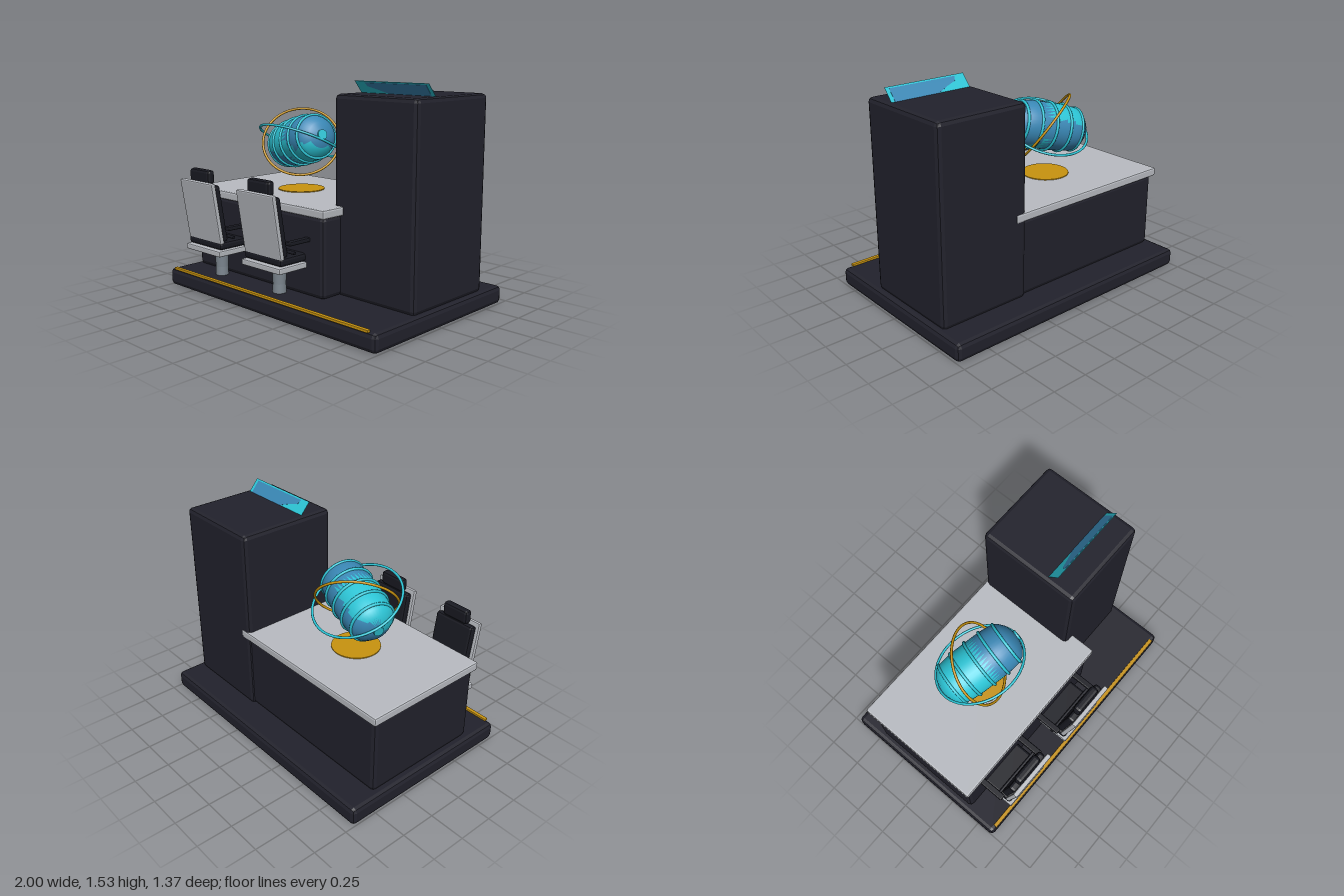
import * as THREE from 'three';
import { RoundedBoxGeometry } from 'three/addons/geometries/RoundedBoxGeometry.js';

const mat = (name, color, side = THREE.FrontSide) => {
  const m = new THREE.MeshStandardMaterial({ color, side });
  m.name = name;
  return m;
};

export function createModel() {
  const model = new THREE.Group();
  model.name = 'controlDesk';
  const dark = mat('darkShell', 0x22222c);
  const cushionDark = mat('cushion', 0x191a22);
  const light = mat('lightPanel', 0xb9bcc2);
  const steel = mat('steel', 0x7c868f);
  const gold = mat('gold', 0xc8930f);
  const cyan = mat('cyan', 0x2cc5d6);
  const blue = mat('blue', 0x3a88b6);

  const add = (parent, name, geometry, material, x = 0, y = 0, z = 0) => {
    const mesh = new THREE.Mesh(geometry, material);
    mesh.name = name;
    mesh.position.set(x, y, z);
    parent.add(mesh);
    return mesh;
  };
  // Bevelled box with flat facets, given by its centre and size
  const box = (parent, name, material, [x, y, z], [w, h, d], bevel = 0.01) => {
    const g = new RoundedBoxGeometry(w, h, d, 1, bevel).toNonIndexed();
    g.computeVertexNormals();
    return add(parent, name, g, material, x, y, z);
  };

  // Platform, desk and tower
  box(model, 'platform', dark, [0, 0.0625, -0.025], [2, 0.125, 1.33], 0.03);
  box(model, 'deskBody', dark, [-0.3, 0.395, -0.04], [1.3, 0.55, 0.88], 0.03);
  box(model, 'deskTop', light, [-0.3, 0.692, -0.04], [1.345, 0.06, 0.925], 0.012);
  box(model, 'tower', dark, [0.625, 0.78, -0.13], [0.67, 1.33, 0.735], 0.03);
  box(model, 'frontStrip', gold, [-0.005, 0.13, 0.625], [1.885, 0.018, 0.028], 0.004);

  // Leaning display on the tower
  const display = new THREE.Group();
  display.name = 'display';
  display.position.set(0.625, 1.472, 0.039);
  display.rotation.x = 0.72;
  model.add(display);
  add(display, 'displayPlate', new THREE.BoxGeometry(0.595, 0.14, 0.002), cyan);
  const patch = new THREE.Shape([[-0.22, 0.058], [0.27, 0.058], [0.27, -0.07], [0.02, -0.07], [-0.14, 0], [-0.21, 0.025]]
    .map(([x, y]) => new THREE.Vector2(x, y)));
  add(display, 'displayImage', new THREE.ExtrudeGeometry(patch, { depth: 0.005, bevelEnabled: false }), blue, 0, 0, -0.0025);

  // Round pad on the desk
  add(model, 'projectorPad', new THREE.CylinderGeometry(0.168, 0.168, 0.008, 32), gold, -0.3, 0.724, -0.04);

  // Floating banded capsule
  const capsule = new THREE.Group();
  capsule.name = 'capsule';
  capsule.position.set(-0.298, 1.07, -0.038);
  model.add(capsule);
  const axis = new THREE.Vector3(1, 0.26, 0.27).normalize();
  const turn = new THREE.Quaternion().setFromUnitVectors(new THREE.Vector3(0, 1, 0), axis);
  const profile = [[0, -0.305], [0.045, -0.3], [0.1, -0.28], [0.14, -0.245], [0.155, -0.21], [0.163, -0.15], [0.167, -0.08],
    [0.167, 0], [0.167, 0.08], [0.163, 0.15], [0.155, 0.21], [0.135, 0.25], [0.09, 0.285], [0.04, 0.3], [0, 0.305]]
    .map(([r, t]) => new THREE.Vector2(r, t));
  const body = new THREE.LatheGeometry(profile, 40).applyQuaternion(turn);
  // Blue areas on the cyan shell, chosen face by face
  const p = new THREE.Vector3(), q = new THREE.Vector3();
  const pos = body.attributes.position, index = body.index;
  for (let i = 0; i < index.count; i += 3) {
    p.set(0, 0, 0);
    for (let k = 0; k < 3; k++) p.add(q.fromBufferAttribute(pos, index.getX(i + k)));
    p.divideScalar(3);
    const t = p.dot(axis);
    const isBlue = t > 0.03
      ? p.y - 0.25 * p.z > -0.05 + 0.03 * Math.sin(t * 30)
      : p.y < -0.09 || (p.z < -0.06 && p.y < 0.08 + t * 0.3);
    body.addGroup(i, 3, isBlue ? 1 : 0);
  }
  add(capsule, 'capsuleShell', body, [cyan, blue]);
  for (const [t, r] of [[-0.22, 0.153], [-0.115, 0.168], [0, 0.171], [0.115, 0.168], [0.22, 0.153]]) {
    const band = add(capsule, 'capsuleBand', new THREE.TorusGeometry(r, 0.01, 8, 40).rotateX(Math.PI / 2), cyan);
    band.position.copy(axis).multiplyScalar(t);
    band.quaternion.copy(turn);
  }
  for (const end of [-1, 1]) {
    const cap = add(capsule, 'endCap', new THREE.CylinderGeometry(0.035, 0.035, 0.02, 20), cyan);
    cap.position.copy(axis).multiplyScalar(end * 0.305);
    cap.quaternion.copy(turn);
  }

  // Two tilted orbit rings
  const ring = (name, radius, material, normal) => {
    const mesh = add(capsule, name, new THREE.TorusGeometry(radius, 0.009, 8, 64), material);
    mesh.quaternion.setFromUnitVectors(new THREE.Vector3(0, 0, 1), normal.normalize());
  };
  ring('goldRing', 0.276, gold, new THREE.Vector3(0.52, 0.6, 0.6));
  ring('cyanRing', 0.311, cyan, new THREE.Vector3(0, 0.9, -0.44));

  // Two chairs facing the desk
  for (const x of [-0.6, 0.01]) {
    const chair = new THREE.Group();
    chair.name = 'chair';
    chair.position.x = x;
    model.add(chair);
    add(chair, 'footPlate', new THREE.CylinderGeometry(0.125, 0.125, 0.004, 24), steel, 0, 0.001, 0.47);
    add(chair, 'pedestalLower', new THREE.CylinderGeometry(0.044, 0.047, 0.1, 24), steel, 0, 0.16, 0.47);
    add(chair, 'pedestalUpper', new THREE.CylinderGeometry(0.05, 0.044, 0.15, 24), steel, 0, 0.245, 0.47);
    box(chair, 'seatPan', light, [0, 0.332, 0.505], [0.375, 0.04, 0.27], 0.008);
    box(chair, 'seatCushion', cushionDark, [0, 0.382, 0.495], [0.355, 0.056, 0.25], 0.018);
    box(chair, 'backPanel', light, [0, 0.612, 0.634], [0.355, 0.435, 0.033], 0.008).rotation.x = 0.16;
    box(chair, 'backCushion', cushionDark, [0, 0.605, 0.592], [0.32, 0.41, 0.055], 0.018).rotation.x = 0.16;
    box(chair, 'headrest', cushionDark, [0, 0.858, 0.625], [0.21, 0.1, 0.06], 0.02);
    add(chair, 'armBar', new THREE.CylinderGeometry(0.011, 0.011, 0.43, 10).rotateZ(Math.PI / 2), cushionDark, 0, 0.441, 0.53);
    for (const s of [-1, 1]) {
      box(chair, 'armrest', cushionDark, [s * 0.2, 0.508, 0.48], [0.045, 0.028, 0.2], 0.008);
    }
  }
  return model;
}
